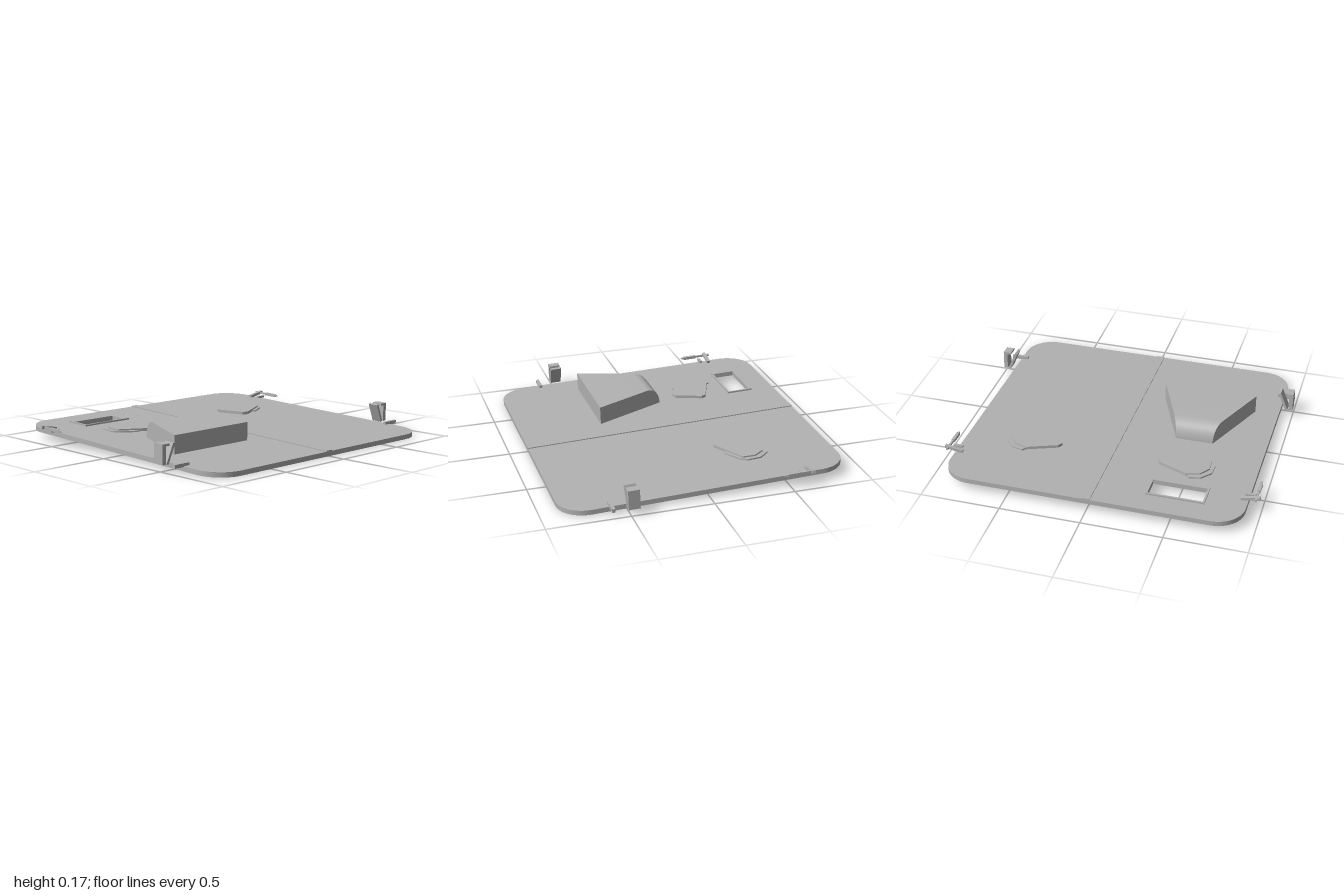
import * as THREE from 'three';
import { toCreasedNormals } from 'three/addons/utils/BufferGeometryUtils.js';

const T = 0.03; // panel thickness

export function createModel() {
  const model = new THREE.Group();
  model.name = 'hatchPanel';
  const grey = new THREE.MeshStandardMaterial({ color: 0xb2b2b2 });
  grey.name = 'grey';

  // everything sits on a panel that rises slightly towards the back
  const tilted = new THREE.Group();
  tilted.name = 'tiltedPanel';
  tilted.rotation.x = 0.031;
  tilted.position.y = 0.0275;
  model.add(tilted);

  const add = (name, geo, parent = tilted) => {
    const m = new THREE.Mesh(geo, grey);
    m.name = name;
    parent.add(m);
    return m;
  };
  const box = (name, w, h, d, x, y, z, parent) => {
    const m = add(name, new THREE.BoxGeometry(w, h, d), parent);
    m.position.set(x, y, z);
    return m;
  };
  // horizontal plate from a shape drawn in (x, -z)
  const plate = (name, shape, y, h) => {
    const geo = new THREE.ExtrudeGeometry(shape, { depth: h, bevelEnabled: false, curveSegments: 7 });
    geo.rotateX(-Math.PI / 2).translate(0, y, 0);
    return add(name, toCreasedNormals(geo, 0.5));
  };
  const polygon = (pts) => new THREE.Shape(pts.map(([x, z]) => new THREE.Vector2(x, -z)));
  const rect = (x0, x1, z0, z1) => polygon([[x0, z0], [x1, z0], [x1, z1], [x0, z1]]);

  // rounded panel with a window opening
  const X = 0.922, Z = 0.885, R = 0.175;
  const slab = new THREE.Shape();
  slab.moveTo(-X + R, -Z);
  slab.lineTo(X - R, -Z);
  slab.absarc(X - R, -Z + R, R, -Math.PI / 2, 0);
  slab.lineTo(X, Z - R);
  slab.absarc(X - R, Z - R, R, 0, Math.PI / 2);
  slab.lineTo(-X + R, Z);
  slab.absarc(-X + R, Z - R, R, Math.PI / 2, Math.PI);
  slab.lineTo(-X, -Z + R);
  slab.absarc(-X + R, -Z + R, R, Math.PI, Math.PI * 1.5);
  slab.holes.push(rect(-0.67, -0.33, -0.725, -0.575));
  plate('panel', slab, 0, T);

  // window frame
  const frame = rect(-0.68, -0.322, -0.735, -0.566);
  frame.holes.push(rect(-0.668, -0.332, -0.723, -0.577));
  plate('windowFrame', frame, T - 0.005, 0.015);

  // low strip along the middle
  box('centreStrip', 0.05, 0.006, 2 * Z - 0.002, 0, T + 0.003, 0);

  // tapered hood, rounded at the narrow end
  const profile = new THREE.Shape();
  profile.moveTo(-0.09, T - 0.002);
  profile.lineTo(0.365, T - 0.002);
  profile.lineTo(0.365, T + 0.115);
  profile.lineTo(0.01, T + 0.115);
  profile.bezierCurveTo(-0.05, T + 0.115, -0.088, T + 0.07, -0.09, T - 0.002);
  let hood = new THREE.ExtrudeGeometry(profile, { depth: 2, bevelEnabled: false, curveSegments: 12 });
  hood.translate(0, 0, -1).rotateY(-Math.PI / 2);
  const p = hood.attributes.position;
  for (let i = 0; i < p.count; i++) {
    const half = THREE.MathUtils.mapLinear(p.getZ(i), -0.09, 0.365, 0.1175, 0.3025);
    p.setX(i, -0.4675 + p.getX(i) * half);
  }
  hood.computeVertexNormals();
  add('hood', toCreasedNormals(hood, 0.5));

  const pad = [[0.51, -0.48], [0.325, -0.405], [0.31, -0.375], [0.38, -0.215], [0.415, -0.2],
    [0.63, -0.31], [0.635, -0.39], [0.59, -0.455]];
  const rim = [[0.53, -0.5], [0.5, -0.46], [0.45, -0.3], [0.525, -0.23], [0.63, -0.29],
    [0.66, -0.335], [0.655, -0.42], [0.6, -0.485]];

  for (const s of [1, -1]) {
    const side = s > 0 ? 'left' : 'right';
    const flip = (pts) => polygon(pts.map(([x, z]) => [s * x, z]));
    plate(side + 'Pad', flip(pad), T - 0.002, 0.02);
    plate(side + 'PadRim', flip(rim), T - 0.002, 0.011);

    // front clamp: upright plate, cap and leaning leg
    const clamp = new THREE.Group();
    clamp.name = side + 'FrontClamp';
    tilted.add(clamp);
    box('upright', 0.026, 0.12, 0.07, s * 0.985, 0.088, 0.48, clamp);
    box('cap', 0.05, 0.014, 0.07, s * 0.972, 0.141, 0.48, clamp);
    const leg = box('leaningLeg', 0.016, 0.128, 0.07, s * 0.934, 0.086, 0.48, clamp);
    leg.rotation.z = s * 0.4;
    box('frontPeg', 0.11, 0.022, 0.02, s * 0.934, 0.036, 0.6, clamp);

    // back latch: cross bar, foot and lengthwise handle with a pointed tip
    const latch = new THREE.Group();
    latch.name = side + 'BackLatch';
    tilted.add(latch);
    const bar = box('crossBar', 0.115, 0.018, 0.022, s * 0.932, 0.047, -0.622, latch);
    bar.rotation.z = s * 0.18;
    box('foot', 0.06, 0.014, 0.02, s * 0.925, 0.036, -0.57, latch);
    box('rod', 0.012, 0.012, 0.12, s * 0.967, 0.054, -0.593, latch);
    box('handle', 0.02, 0.018, 0.085, s * 0.967, 0.054, -0.51, latch);
    const tip = add('tip', new THREE.ConeGeometry(0.014, 0.03, 4).toNonIndexed(), latch);
    tip.geometry.rotateY(Math.PI / 4).rotateX(Math.PI / 2);
    tip.geometry.computeVertexNormals();
    tip.position.set(s * 0.967, 0.054, -0.4525);
  }
  return model;
}
